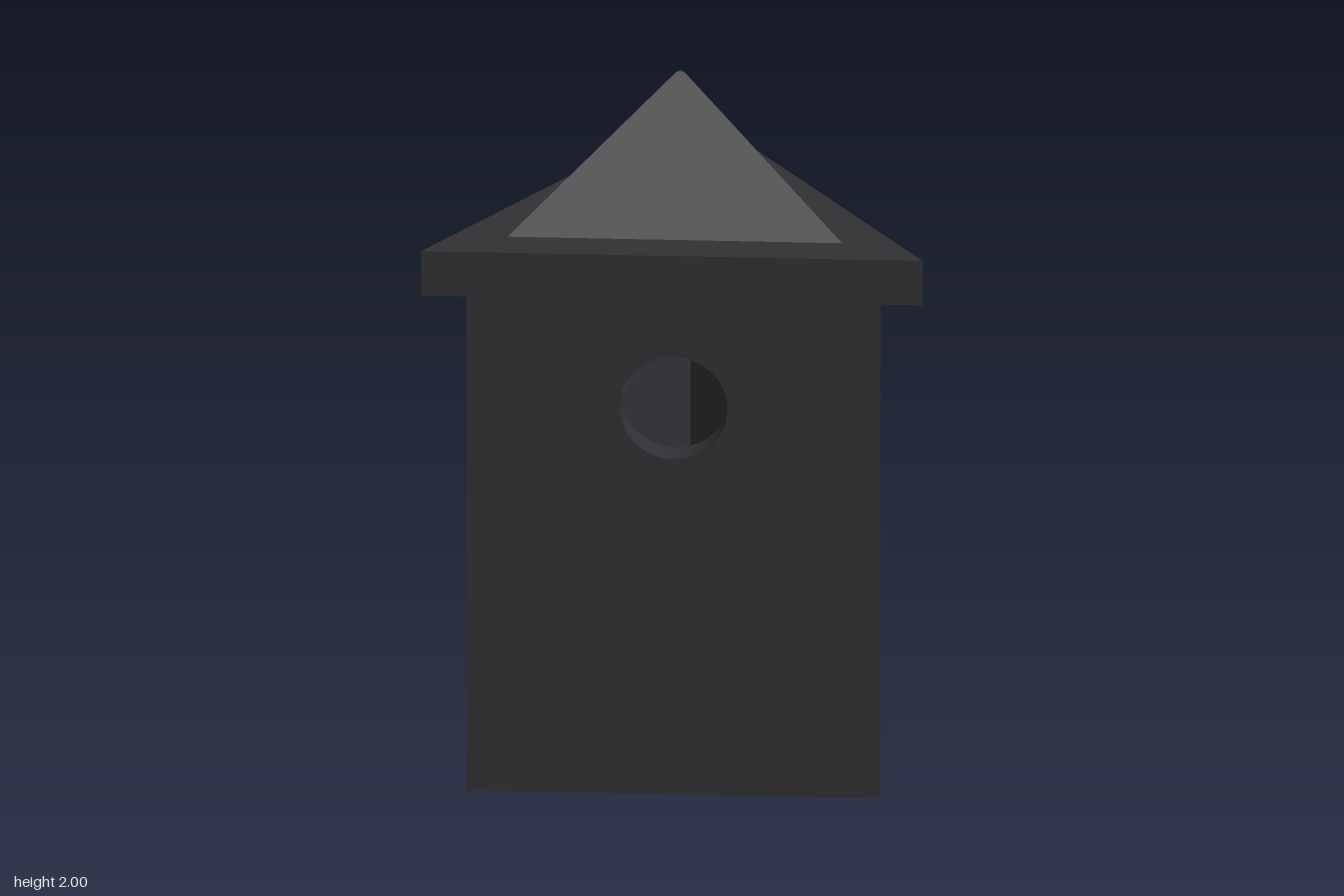
import * as THREE from 'three';

const CENTRE_X = -0.2;      // axis of the three-sided tower
const WALL_TOP = 1.47;
const HOLE_Y = 1.13, HOLE_R = 0.15;
const OUTER = 0.33, INNER = 0.23; // distance from axis to wall faces

export function createModel() {
  const model = new THREE.Group();
  const tower = new THREE.Group();
  tower.name = 'tower';
  tower.position.x = CENTRE_X;
  model.add(tower);

  const charcoal = new THREE.MeshStandardMaterial({ color: 0x313135, side: THREE.DoubleSide });
  charcoal.name = 'charcoal';

  const add = (name, geometry, parent = tower) => {
    const mesh = new THREE.Mesh(geometry, charcoal);
    mesh.name = name;
    parent.add(mesh);
    return mesh;
  };

  // Three-sided prism or pyramid with crisp faces and one corner towards +x
  const prism = (name, topInradius, bottomInradius, y0, y1) => {
    const g = new THREE.CylinderGeometry(topInradius * 2, bottomInradius * 2, y1 - y0, 3, 1, false, Math.PI / 2)
      .toNonIndexed();
    g.computeVertexNormals();
    add(name, g).position.y = (y0 + y1) / 2;
  };

  // Flat wall sheet with a round opening
  const wallSheet = (inradius, y0) => {
    const half = inradius * Math.sqrt(3);
    const shape = new THREE.Shape();
    shape.moveTo(-half, y0).lineTo(half, y0).lineTo(half, WALL_TOP).lineTo(-half, WALL_TOP).closePath();
    const hole = new THREE.Path();
    hole.absarc(0, HOLE_Y, HOLE_R, 0, Math.PI * 2, true);
    shape.holes.push(hole);
    return new THREE.ShapeGeometry(shape, 12).translate(0, 0, inradius);
  };

  // Three walls, each pierced by a round window
  for (let i = 0; i < 3; i++) {
    const wall = new THREE.Group();
    wall.name = 'wall';
    wall.rotation.y = Math.PI / 6 + i * Math.PI * 2 / 3;
    tower.add(wall);
    add('wallOutside', wallSheet(OUTER, 0), wall);
    add('wallInside', wallSheet(INNER, 0.1), wall);
    const reveal = new THREE.CylinderGeometry(HOLE_R, HOLE_R, OUTER - INNER, 24, 1, true);
    reveal.rotateX(Math.PI / 2).translate(0, HOLE_Y, (OUTER + INNER) / 2);
    add('windowReveal', reveal, wall);
  }

  // Underside and chamber floor
  const floor = (name, inradius, y, tilt) => {
    const g = new THREE.CircleGeometry(inradius * 2, 3);
    g.rotateX(tilt);
    add(name, g).position.y = y;
  };
  floor('underside', OUTER, 0, Math.PI / 2);
  floor('chamberFloor', INNER, 0.1, -Math.PI / 2);

  // Overhanging slab and pointed cap
  prism('roofSlab', 0.4, 0.4, WALL_TOP, 1.6);
  prism('roofPyramid', 0.006, 0.267, 1.6, 2);

  return model;
}
